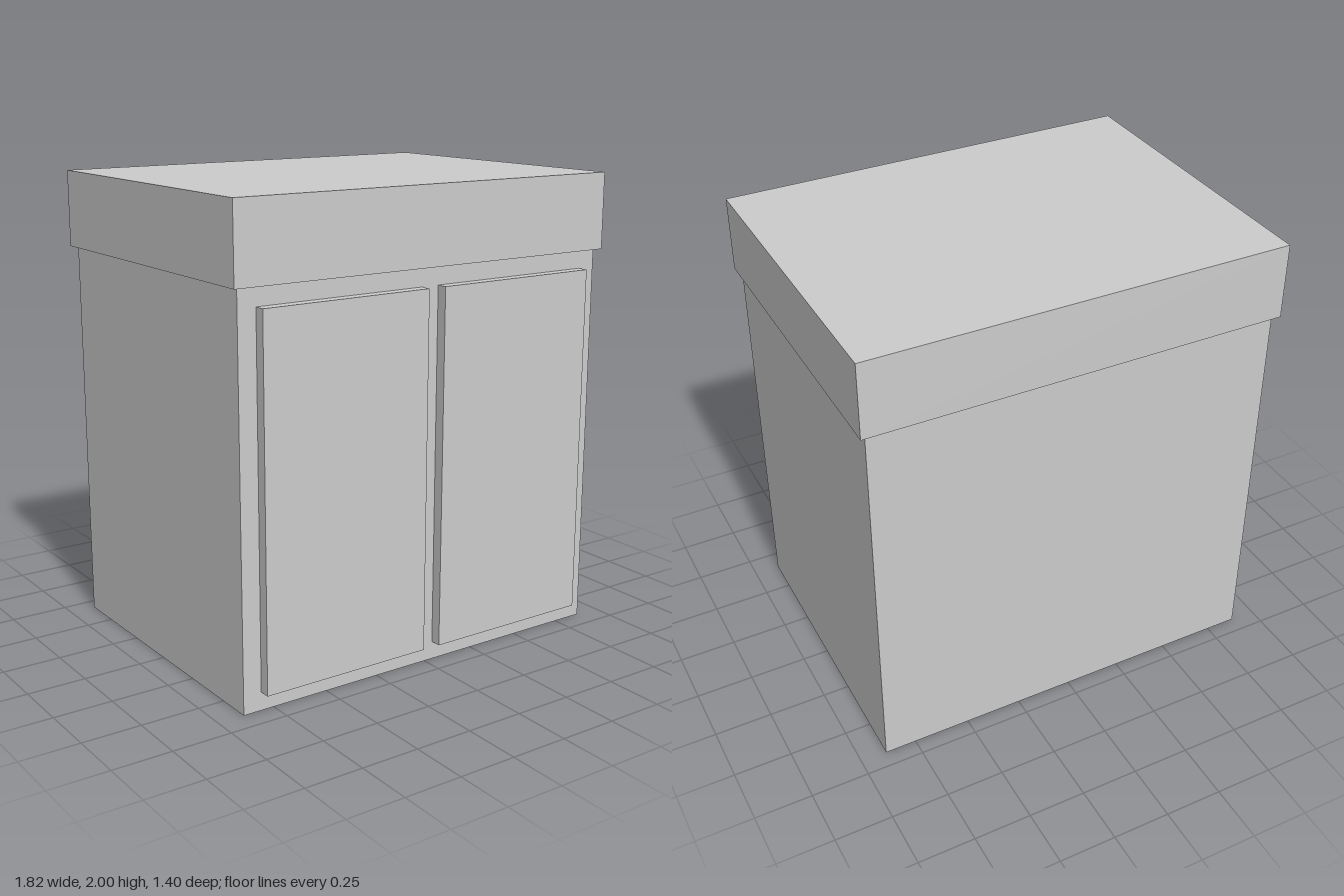
import * as THREE from 'three';

const material = new THREE.MeshStandardMaterial({ color: 0xcccccc });

// Box given by its lower and upper limits on each axis
function box(name, [x0, x1], [y0, y1], [z0, z1]) {
  const mesh = new THREE.Mesh(new THREE.BoxGeometry(x1 - x0, y1 - y0, z1 - z0), material);
  mesh.position.set((x0 + x1) / 2, (y0 + y1) / 2, (z0 + z1) / 2);
  mesh.name = name;
  return mesh;
}

export function createModel() {
  const group = new THREE.Group();
  group.name = 'cabinet';

  // Carcass and thick overhanging worktop
  group.add(box('body', [-0.887, 0.887], [0, 1.674], [-0.678, 0.655]));
  group.add(box('worktop', [-0.912, 0.912], [1.674, 2], [-0.702, 0.679]));

  // Pair of slab doors standing proud of the front
  group.add(box('leftDoor', [0.04, 0.807], [0.077, 1.597], [0.655, 0.702]));
  group.add(box('rightDoor', [-0.807, -0.04], [0.077, 1.597], [0.655, 0.702]));

  return group;
}
